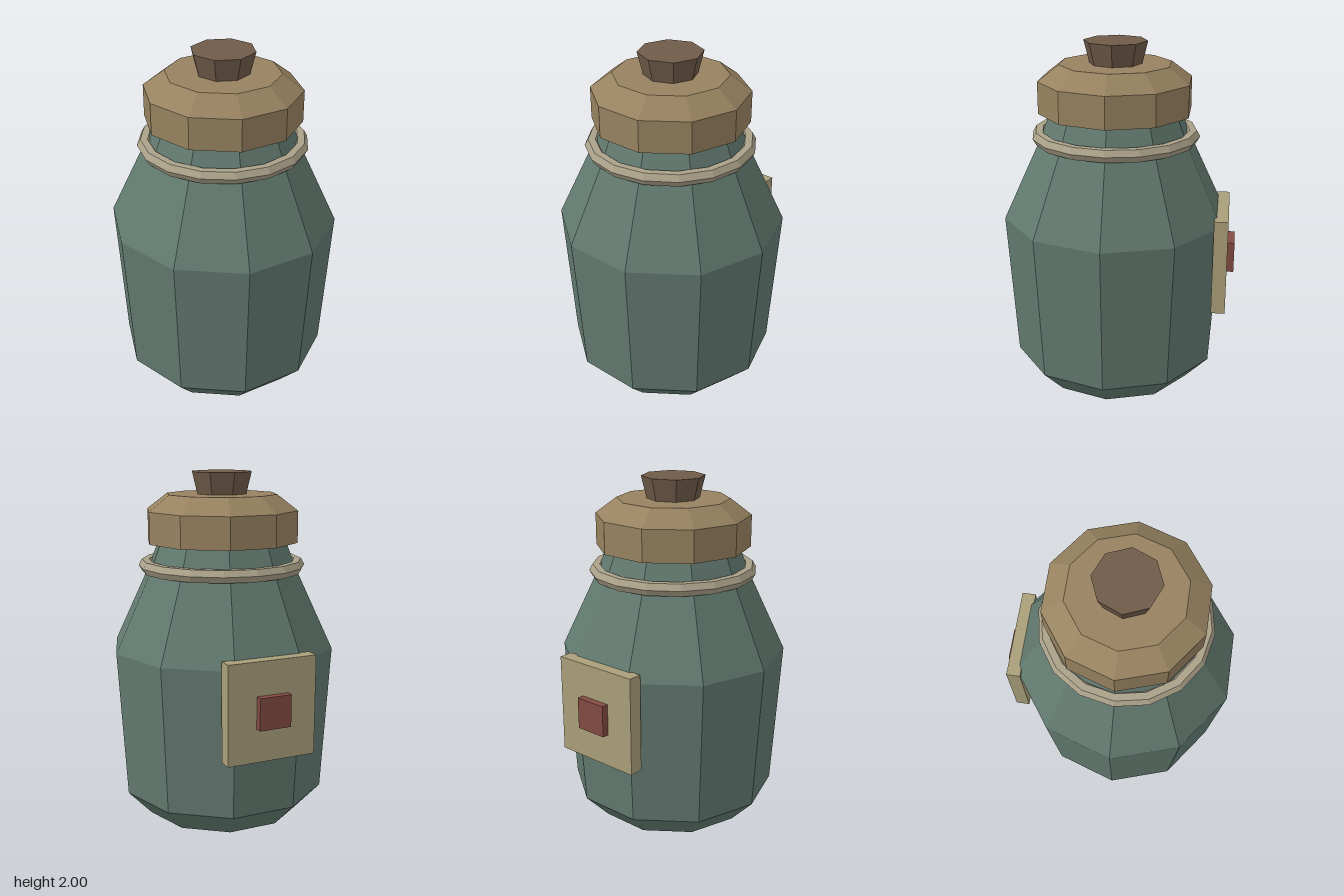
import * as THREE from 'three';

const AXIS_Z = 0.04; // the jar's axis sits slightly forward of the centre

function addPart(group, name, geometry, color, x, y, z) {
  const material = new THREE.MeshStandardMaterial({ color, flatShading: true });
  const mesh = new THREE.Mesh(geometry, material);
  mesh.name = name;
  mesh.position.set(x, y, z);
  group.add(mesh);
  return mesh;
}

// Faceted turned solid from [radius, height] pairs, bottom to top, with a corner on +x
function turned(profile, sides) {
  const points = profile.map(([r, y]) => new THREE.Vector2(r, y));
  return new THREE.LatheGeometry(points, sides, Math.PI / 2);
}

export function createModel() {
  const model = new THREE.Group();
  model.name = 'jar';

  // Ten-sided body with chamfered foot and sloping shoulder
  addPart(model, 'body', turned([
    [0, 0], [0.46, 0], [0.6, 0.15], [0.65, 1], [0.437, 1.45], [0.37, 1.62], [0, 1.62],
  ], 10), 0x627a70, 0, 0, AXIS_Z);

  // Lid with bevelled top
  addPart(model, 'lid', turned([
    [0, 1.605], [0.44, 1.605], [0.44, 1.785], [0.32, 1.875], [0, 1.875],
  ], 10), 0x978260, 0, 0, AXIS_Z);

  // Flared eight-sided stopper
  addPart(model, 'stopper', turned([
    [0, 1.86], [0.145, 1.86], [0.18, 2], [0, 2],
  ], 8), 0x6f5b49, 0, 0, AXIS_Z);

  // Cord ring around the neck
  const ring = addPart(model, 'neckRing', new THREE.TorusGeometry(0.44, 0.04, 6, 16),
    0xaaa189, 0, 1.47, AXIS_Z);
  ring.rotation.x = Math.PI / 2;

  // Label plate and seal on the back
  addPart(model, 'label', new THREE.BoxGeometry(0.52, 0.56, 0.08), 0xaa9f7a, 0, 0.775, -0.58);
  addPart(model, 'seal', new THREE.BoxGeometry(0.186, 0.18, 0.05), 0x824b42, 0, 0.775, -0.635);

  return model;
}
